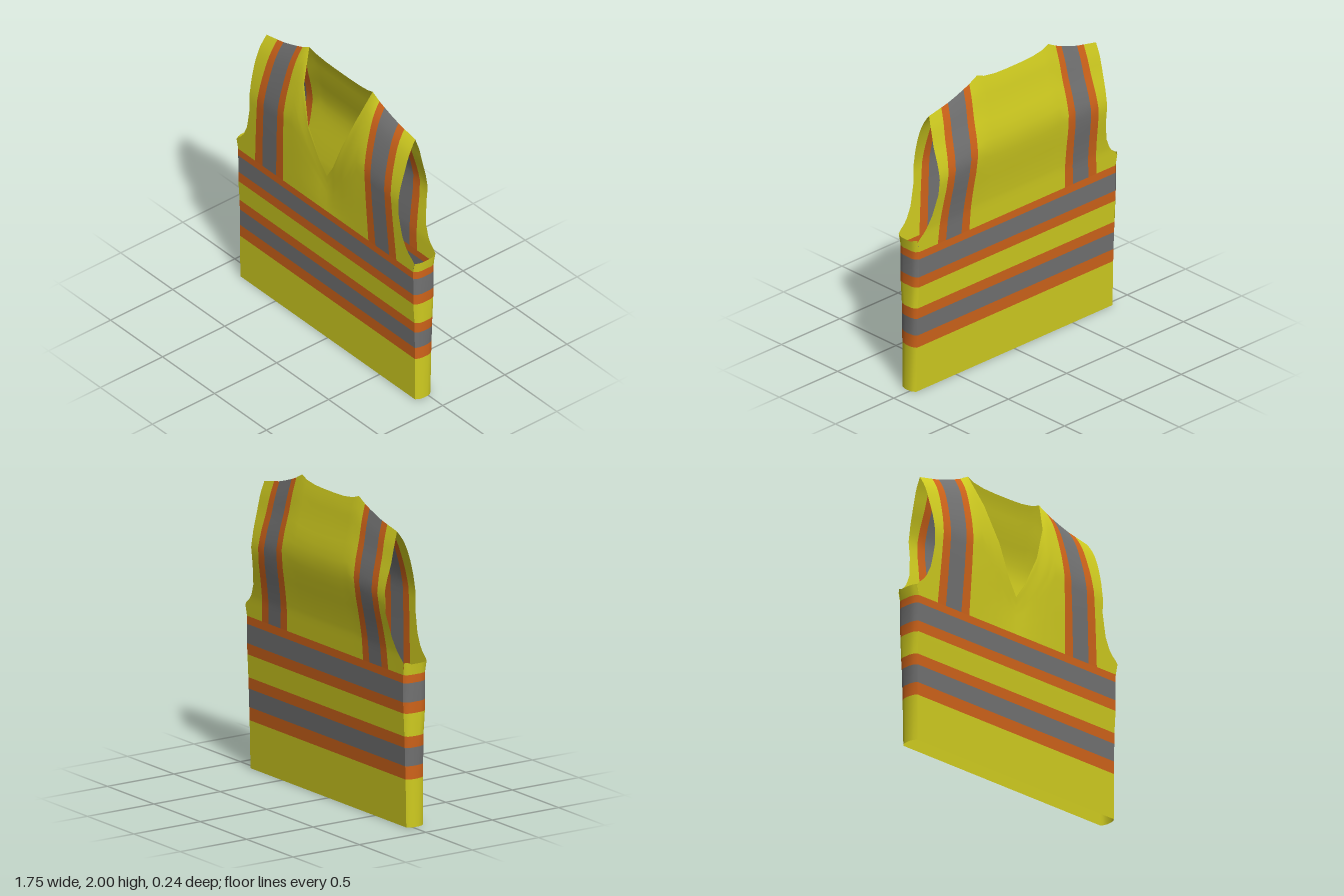
import * as THREE from 'three';
import { toCreasedNormals } from 'three/addons/utils/BufferGeometryUtils.js';

const cloth = (color) => new THREE.MeshStandardMaterial({ color, side: THREE.DoubleSide });
const YELLOW = cloth(0xd0cc20), ORANGE = cloth(0xd0641a), GREY = cloth(0x727272);
const BASE = 0.98; // height where the chest panels meet the body tube
const lerp = THREE.MathUtils.lerp;

// Piecewise linear lookup in [[key, value], ...]
function at(table, k) {
  if (k <= table[0][0]) return table[0][1];
  for (let i = 1; i < table.length; i++) {
    const [a, va] = table[i - 1], [b, vb] = table[i];
    if (k <= b) return lerp(va, vb, (k - a) / (b - a));
  }
  return table[table.length - 1][1];
}

// Outlines: armhole x by height, shoulder height by x, necklines [x at base, x at top, y]
const ARM = [[0.98, 0.842], [1.05, 0.855], [1.07, 0.84], [1.1, 0.805], [1.13, 0.782], [1.2, 0.748],
  [1.34, 0.718], [1.5, 0.717], [1.68, 0.725], [1.8, 0.722], [1.865, 0.715]];
const SHOULDER = [[0.305, 2.0], [0.37, 1.965], [0.45, 1.932], [0.55, 1.9], [0.61, 1.887], [0.715, 1.865]];
const NECK_FRONT = [[0, 0, 1.24], [0.065, 0.065, 1.34], [0.16, 0.16, 1.55], [0.25, 0.25, 1.79],
  [0.32, 0.305, 2.0], [0.41, 0.37, 1.965]];
const NECK_BACK = [[0, 0, 1.965], [0.065, 0.065, 1.965], [0.16, 0.16, 1.968], [0.25, 0.25, 1.98],
  [0.32, 0.305, 2.0], [0.41, 0.37, 1.965]];

// Depth of the chest panels by relative height below the shoulder
const DEPTH = {
  front: [[0, 0.105], [0.15, 0.11], [0.35, 0.117], [0.54, 0.12], [0.64, 0.107], [0.75, 0.083],
    [0.87, 0.05], [0.95, 0.015], [1, -0.018]],
  back: [[0, -0.06], [0.15, -0.066], [0.28, -0.082], [0.42, -0.105], [0.54, -0.116], [0.64, -0.102],
    [0.78, -0.068], [0.9, -0.045], [1, -0.018]],
};
// Depth of the body tube by height
const BODY_FRONT = [[0, 0.09], [0.31, 0.09], [0.585, 0.094], [0.73, 0.104], [0.98, 0.105]];
const BODY_BACK = [[0, -0.035], [0.31, -0.041], [0.585, -0.05], [0.8, -0.06], [1.05, -0.06]];

// Sheet through columns of points running bottom to top
function sheet(name, columns, material, flip = false, crease = 0) {
  const rows = columns[0].length, index = [];
  for (let c = 0; c < columns.length - 1; c++)
    for (let r = 0; r < rows - 1; r++) {
      const a = c * rows + r, b = a + rows;
      if (flip) index.push(a, b + 1, b, a, a + 1, b + 1);
      else index.push(a, b, b + 1, a, b + 1, a + 1);
    }
  let g = new THREE.BufferGeometry();
  g.setAttribute('position', new THREE.Float32BufferAttribute(columns.flat(2), 3));
  g.setIndex(index);
  if (crease) g = toCreasedNormals(g, crease);
  else g.computeVertexNormals();
  const mesh = new THREE.Mesh(g, material);
  mesh.name = name;
  return mesh;
}

const ROWS = [0, 0.04, 0.08, 0.1, 0.135, 0.17, 0.25, 0.33, 0.42, 0.48, 0.54, 0.6, 0.66, 0.72, 0.78,
  0.84, 0.89, 0.93, 0.97, 1];

// One vertical column of a chest panel; s > 0 blends it towards the armhole edge
function column(side, xBase, xTop, yTop, sign, s = 0) {
  return ROWS.map((t) => {
    const y = lerp(BASE, yTop, t);
    let x = lerp(xBase, xTop, t);
    if (s) x = lerp(x, at(ARM, lerp(BASE, 1.865, t)), s);
    const rel = (y - BASE) / (at(SHOULDER, lerp(xTop, 0.715, s)) - BASE);
    let z = at(DEPTH[side], rel);
    // soft hollow under the point of the neckline
    if (side === 'front') z -= 0.018 * Math.exp(-((x / 0.14) ** 2)) * Math.min(1, rel / 0.2);
    return [sign * x, y, z];
  });
}

function chestPanel(side) {
  const panel = new THREE.Group();
  panel.name = side + 'Panel';
  const neck = side === 'front' ? NECK_FRONT : NECK_BACK;
  const isBack = side === 'back';

  // Centre cloth with the neckline
  const half = (sign) => neck.map(([b, t, y]) => column(side, b, t, y, sign));
  panel.add(sheet(side + 'Centre', [...half(-1).reverse().slice(0, -1), ...half(1)], YELLOW, isBack));

  // Shoulder stripes [x at base, x at top] and the armhole cloth outside them
  const edges = [[0.41, 0.37], [0.478, 0.42], [0.61, 0.553], [0.68, 0.61]];
  const stripes = [['InnerTrim', ORANGE], ['Reflector', GREY], ['OuterTrim', ORANGE]];
  for (const sign of [1, -1]) {
    const flip = isBack !== (sign < 0);
    const hand = sign > 0 ? 'Left' : 'Right';
    stripes.forEach(([name, material], i) => {
      const cols = [0, 0.5, 1].map((k) => {
        const xb = lerp(edges[i][0], edges[i + 1][0], k), xt = lerp(edges[i][1], edges[i + 1][1], k);
        return column(side, xb, xt, at(SHOULDER, xt), sign);
      });
      panel.add(sheet(side + hand + name, cols, material, flip));
    });
    const cols = [0, 0.35, 0.7, 1].map((s) =>
      column(side, 0.68, 0.61, at(SHOULDER, lerp(0.61, 0.715, s)), sign, s));
    panel.add(sheet(side + hand + 'ArmholeCloth', cols, YELLOW, flip));
  }
  return panel;
}

// Side wall of the body, from front corner to back corner
function sideProfile(y) {
  const f = at(BODY_FRONT, y), b = at(BODY_BACK, y);
  const w = at([[0, 0.862], [0.4, 0.858], [0.58, 0.866], [0.98, 0.866], [1.05, 0.875]], y);
  const c = at([[0, 0.84], [0.98, 0.842], [1.05, 0.855]], y);
  return [[c, f], [w - 0.007, f - 0.02], [w, f - 0.05], [w, b + 0.04], [w - 0.007, b + 0.015], [c, b]];
}

// Closed ring around the body, counter-clockwise seen from below
function bodyRing(y) {
  const right = sideProfile(y);
  const left = right.map(([x, z]) => [-x, z]).reverse();
  return [...right, ...left, right[0]].map(([x, z]) => [x, y, z]);
}

function band(name, y0, y1, material) {
  const steps = [0, 0.5, 1].map((k) => bodyRing(lerp(y0, y1, k)));
  const columns = steps[0].map((_, i) => steps.map((ring) => ring[i]));
  return sheet(name, columns, material, false, 0.6);
}

export function createModel() {
  const vest = new THREE.Group();
  vest.name = 'safetyVest';

  // Body tube: horizontal bands from hem to chest
  const body = new THREE.Group();
  body.name = 'body';
  [['hemCloth', 0, YELLOW], ['lowerBandBottomTrim', 0.308, ORANGE], ['lowerReflector', 0.393, GREY],
    ['lowerBandTopTrim', 0.512, ORANGE], ['waistCloth', 0.585, YELLOW],
    ['upperBandBottomTrim', 0.733, ORANGE], ['upperReflector', 0.805, GREY],
    ['upperBandTopTrim', 0.928, ORANGE], ['end', BASE]]
    .forEach(([name, y, material], i, all) => {
      if (material) body.add(band(name, y, all[i + 1][1], material));
    });
  vest.add(body);

  // Chest panels
  vest.add(chestPanel('front'), chestPanel('back'));

  // Flared cloth under each armhole
  for (const sign of [1, -1]) {
    const low = sideProfile(BASE), high = sideProfile(1.05);
    const cols = low.map(([x, z], i) => [
      [sign * x, BASE, z], [sign * high[i][0], 1.05 + (i > 3 ? 0.012 : 0), high[i][1]]]);
    vest.add(sheet(sign > 0 ? 'leftUnderarm' : 'rightUnderarm', cols, YELLOW, sign < 0, 0.6));
  }
  return vest;
}
